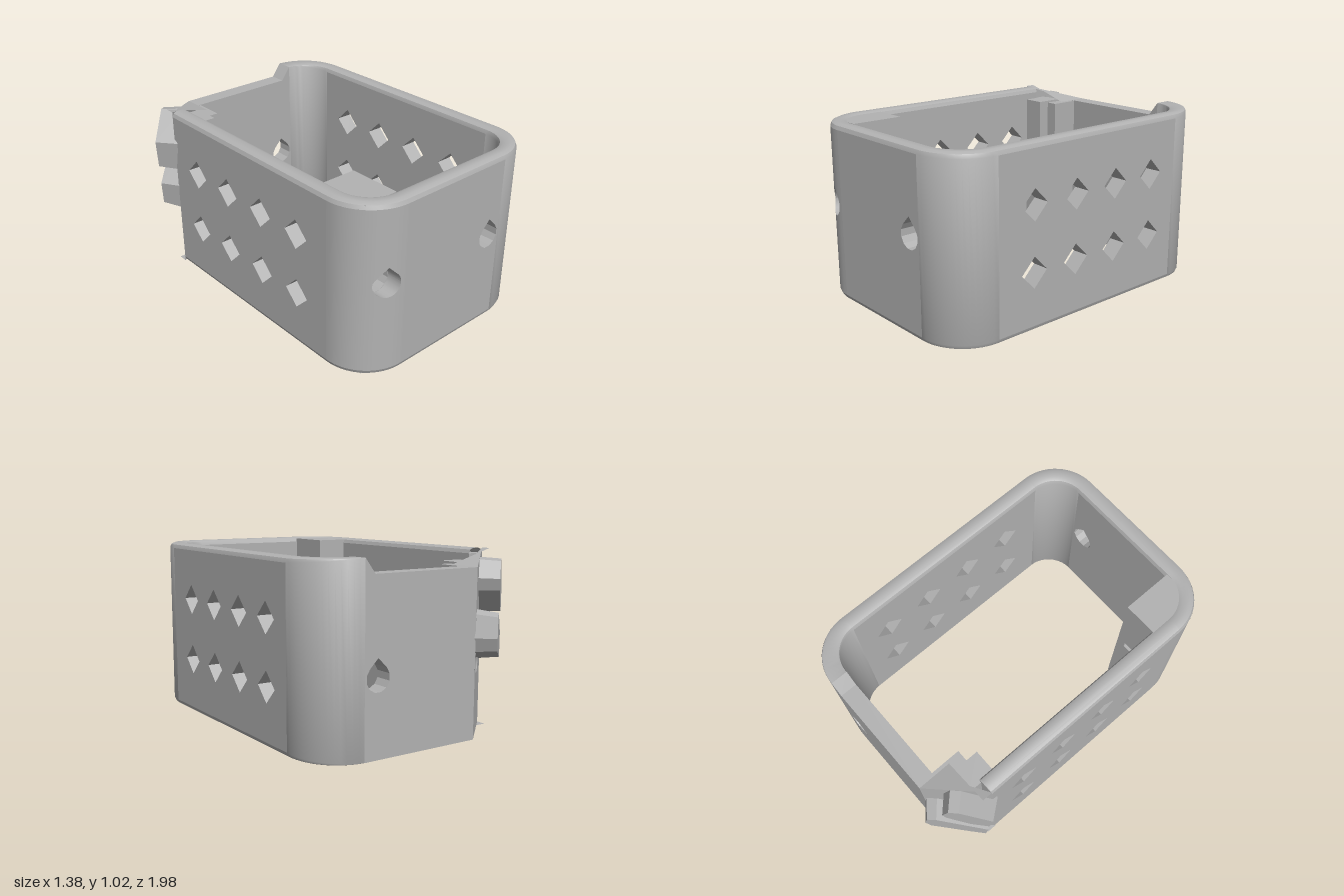
import * as THREE from 'three';
import { toCreasedNormals } from 'three/addons/utils/BufferGeometryUtils.js';

const H = 1.02, WALL = 0.1, BEVEL = 0.03, R = 0.28;
const HOLE_R = 0.073;
const plastic = new THREE.MeshStandardMaterial({ color: 0xb2b2b2, side: THREE.DoubleSide });
plastic.name = 'grey plastic';

function part(name, geometry) {
  const mesh = new THREE.Mesh(geometry, plastic);
  mesh.name = name;
  return mesh;
}

// Surface from a list of four-cornered faces, smooth up to a crease
function quads(list) {
  const pos = [];
  for (const [a, b, c, d] of list) pos.push(...a, ...b, ...c, ...a, ...c, ...d);
  const g = new THREE.BufferGeometry();
  g.setAttribute('position', new THREE.Float32BufferAttribute(pos, 3));
  g.computeVertexNormals();
  return toCreasedNormals(g, 0.6);
}

const polygon = (pts, Type = THREE.Shape) => new Type(pts.map(([x, y]) => new THREE.Vector2(x, y)));
const rect = (x0, y0, x1, y1) => [[x0, y0], [x1, y0], [x1, y1], [x0, y1]];

function teardrop(cx, cy) {
  const pts = [[cx, cy + HOLE_R * Math.SQRT2]];
  for (let i = 0; i <= 9; i++) {
    const a = Math.PI * (0.75 + 1.5 * i / 9);
    pts.push([cx + HOLE_R * Math.cos(a), cy + HOLE_R * Math.sin(a)]);
  }
  return pts;
}

// Slab drawn in the xy plane, from z0 to z1, with holes
function slab(outline, holes, z0, z1) {
  const shape = polygon(outline);
  shape.holes = holes.map(h => polygon(h, THREE.Path));
  return new THREE.ExtrudeGeometry(shape, { depth: z1 - z0, bevelEnabled: false }).translate(0, 0, z0);
}

// Side wall with two rows of diamond windows
function sideWall(name, zBack, xOuterPlus) {
  const holes = [], d = 0.088;
  for (const z of [0.48, 0.18, -0.12, -0.415])
    for (const y of [0.33, 0.695]) holes.push([[z - d, y], [z, y - d], [z + d, y], [z, y + d]]);
  const g = slab(rect(zBack, BEVEL, 0.72, H - BEVEL), holes, 0, WALL);
  return part(name, g.rotateY(-Math.PI / 2).translate(xOuterPlus, 0, 0));
}

// Corner skin built in columns, with a teardrop bore running inward to zIn
function boredSkin(name, xs, zAt, yBottom, topAt, cx, cy, zIn, capped) {
  const cols = [...xs];
  for (let i = 0; i <= 12; i++) cols.push(cx - HOLE_R * Math.cos(Math.PI * i / 12));
  cols.sort((a, b) => a - b);
  const low = x => cy - Math.sqrt(Math.max(0, HOLE_R ** 2 - (x - cx) ** 2));
  const high = x => {
    const d = Math.abs(x - cx);
    return d < HOLE_R * Math.SQRT1_2 ? cy + HOLE_R * Math.SQRT2 - d : 2 * cy - low(x);
  };
  const skin = [], bore = [], caps = [];
  for (let i = 0; i < cols.length - 1; i++) {
    const a = cols[i], b = cols[i + 1];
    if (b - a < 1e-5) continue;
    const za = zAt(a), zb = zAt(b), mid = (a + b) / 2;
    const face = (la, lb, ha, hb) => skin.push([[a, la, za], [b, lb, zb], [b, hb, zb], [a, ha, za]]);
    if (Math.abs(mid - cx) < HOLE_R) {
      face(yBottom, yBottom, low(a), low(b));
      face(high(a), high(b), topAt(a), topAt(b));
      for (const f of [low, high])
        bore.push([[a, f(a), za], [b, f(b), zb], [b, f(b), zIn], [a, f(a), zIn]]);
    } else face(yBottom, yBottom, topAt(a), topAt(b));
    if (capped) for (const f of [() => yBottom, topAt])
      caps.push([[a, f(a), za], [b, f(b), zb], [b, f(b), zIn], [a, f(a), zIn]]);
  }
  const group = new THREE.Group();
  group.name = name;
  group.add(part(name + 'Skin', quads(skin)), part(name + 'Bore', quads(bore)));
  if (capped) group.add(part(name + 'Caps', quads(caps)));
  return group;
}

// Rounded top and bottom rims around three sides; right corners get full height faces
function rims() {
  const stations = [{ x: -0.6, z: -0.64, nx: -1, nz: 0, b: BEVEL }];
  const corner = (cx, cz, a0, solid, fade) => {
    for (let i = 0; i <= 14; i++) {
      const a = a0 + Math.PI / 2 * i / 14, nx = Math.cos(a), nz = -Math.sin(a);
      const b = fade ? BEVEL * (1 - 0.95 * i / 14) : BEVEL;
      stations.push({ x: cx + R * nx, z: cz + R * nz, nx, nz, b, solid: solid && i > 0 });
    }
  };
  corner(-0.32, 0.72, Math.PI, false, false);
  corner(0.41, 0.72, Math.PI * 1.5, true, false);
  corner(0.41, -0.62, 0, true, true);
  const ring = ({ x, z, nx, nz, b }) => {
    const half = [[0, b], [0.3 * b, 0.3 * b], [b, 0], [WALL - b, 0], [WALL - 0.3 * b, 0.3 * b], [WALL, b]];
    const loop = [...half, ...half.map(([d, y]) => [d, H - y]).reverse()];
    return loop.map(([d, y]) => [x - nx * d, y, z - nz * d]);
  };
  const list = [];
  for (let i = 1; i < stations.length; i++) {
    const p = ring(stations[i - 1]), q = ring(stations[i]);
    for (let k = 0; k < 12; k++) {
      if ((k === 5 || k === 11) && !stations[i].solid) continue;
      const n = (k + 1) % 12;
      list.push([p[k], p[n], q[n], q[k]]);
    }
  }
  return part('rims', quads(list));
}

// Tapered latch bar standing out from the cut corner
function latchBar(name, outline, depth, taper) {
  const g = slab(outline, [], -0.02, depth), p = g.attributes.position;
  const cx = outline.reduce((s, o) => s + o[0], 0) / outline.length;
  const cy = outline.reduce((s, o) => s + o[1], 0) / outline.length;
  for (let i = 0; i < p.count; i++) if (p.getZ(i) > 0)
    p.setXY(i, cx + (p.getX(i) - cx) * taper, cy + (p.getY(i) - cy) * taper);
  g.computeVertexNormals();
  return part(name, g);
}

export function createModel() {
  const model = new THREE.Group();
  model.name = 'casing';

  // Walls
  model.add(sideWall('leftWall', -0.62, 0.69), sideWall('rightWall', -0.64, -0.5));
  model.add(part('frontWall', slab(rect(-0.32, BEVEL, 0.41, H - BEVEL), [teardrop(0.328, 0.555)], 0.9, 1)));
  model.add(part('backWall', slab(
    [[-0.32, 0], [0.41, 0], [0.41, H], [0.35, 0.94], [-0.32, 0.94]], [teardrop(0.328, 0.42)], -0.9, -0.8)));
  model.add(rims());

  // Front corner with screw bore and inner post
  const arcXs = [];
  for (let i = 0; i <= 16; i++) arcXs.push(-0.32 - R * Math.sin(Math.PI / 2 * i / 16));
  model.add(boredSkin('frontCorner', arcXs, x => 0.72 + Math.sqrt(Math.max(0, R * R - (x + 0.32) ** 2)),
    BEVEL, () => H - BEVEL, -0.42, 0.555, 0.85, false));
  const postFace = rect(-0.52, 0.005, -0.31, 1.012);
  model.add(part('frontPost', slab(postFace, [rect(-0.445, 0.53, -0.365, 0.58)], 0.6, 0.85)));
  model.add(part('frontPostSeat', slab(postFace, [teardrop(-0.42, 0.555)], 0.85, 0.905)));

  // Cut back corner with screw bore and stepped inner post
  model.add(boredSkin('cutCorner', [-0.6, -0.32], x => -0.64 - (x + 0.6) * 0.93,
    0, x => H - 0.08 * (x + 0.6) / 0.28, -0.42, 0.42, -0.7, true));
  model.add(part('backPost', slab(rect(-0.51, 0, -0.37, 0.95), [rect(-0.445, 0.39, -0.39, 0.45)], -0.72, -0.55)));
  model.add(part('backPostStep', slab(rect(-0.37, 0, -0.3, 0.938), [], -0.85, -0.62)));

  // Latch on the cut corner
  const latch = new THREE.Group();
  latch.name = 'latch';
  latch.position.set(-0.46, 0, -0.77);
  latch.rotation.y = Math.atan2(-0.68, -0.73);
  latch.add(latchBar('upperLatchBar',
    [[-0.07, 0.87], [-0.05, 0.8], [0.08, 0.67], [0.19, 0.65], [0.215, 0.83], [0.03, 0.98], [-0.03, 0.97]], 0.115, 0.94));
  latch.add(latchBar('lowerLatchBar',
    [[-0.2, 0.56], [-0.17, 0.48], [0.08, 0.4], [0.18, 0.38], [0.2, 0.54], [-0.12, 0.71], [-0.18, 0.69]], 0.115, 0.88));
  model.add(latch);
  return model;
}
